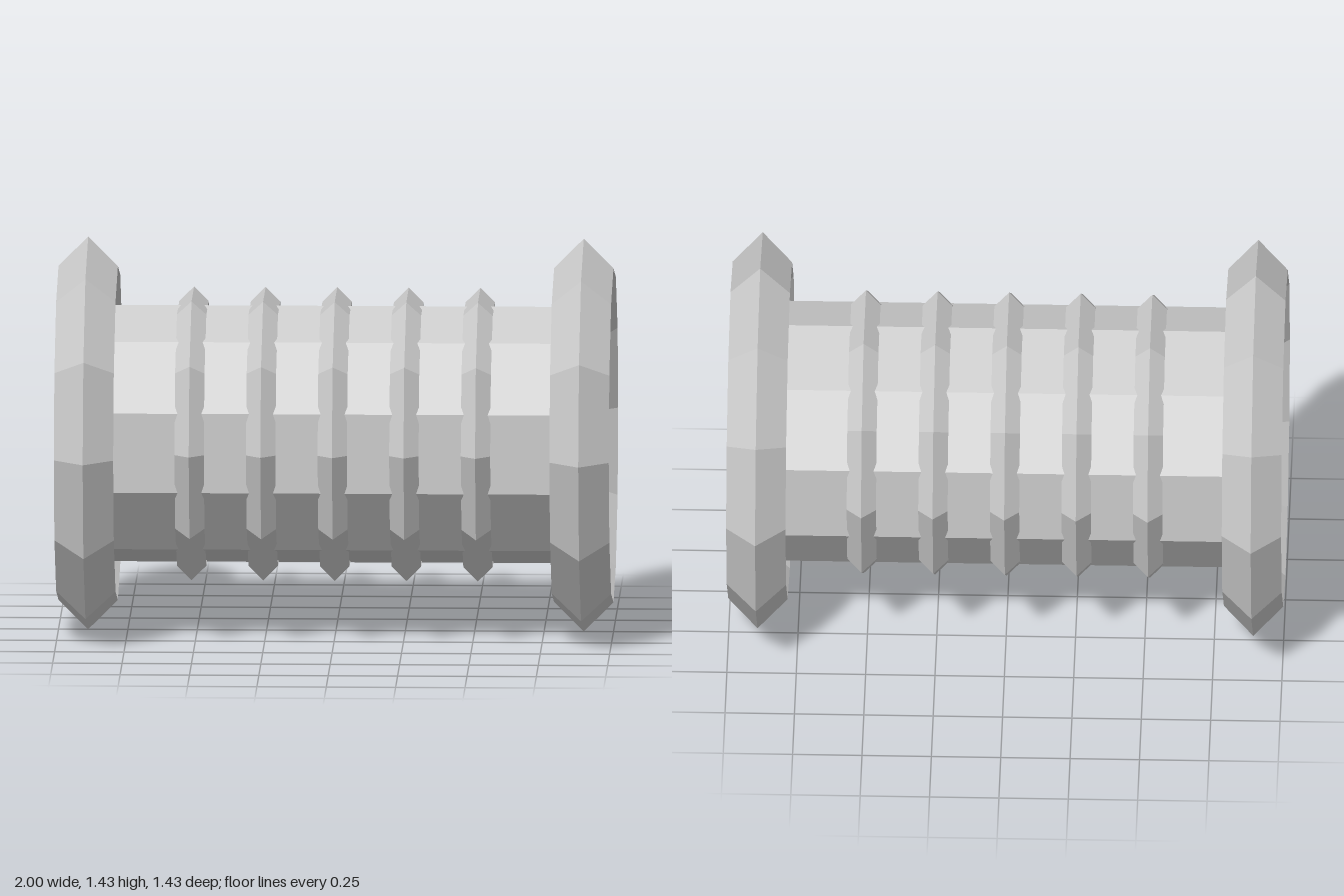
import * as THREE from 'three';

export function createModel() {
  const model = new THREE.Group();
  model.name = 'ribbedSpool';

  const grey = new THREE.MeshStandardMaterial({ color: 0xcccccc });
  grey.name = 'light grey';
  grey.flatShading = true;

  const axisY = 0.717; // height of the spool's axis
  const endX = 0.893; // centre of each end ring

  // Diamond-section ring around the x axis
  function addRing(name, x, radius, tube, sides) {
    const geometry = new THREE.TorusGeometry(radius, tube, 4, sides);
    geometry.rotateY(Math.PI / 2);
    const ring = new THREE.Mesh(geometry, grey);
    ring.name = name;
    ring.position.set(x, axisY, 0);
    model.add(ring);
  }

  // Ten-sided barrel lying along x, with a corner at the top
  const barrelGeometry = new THREE.CylinderGeometry(0.468, 0.468, endX * 2, 10);
  barrelGeometry.rotateY(Math.PI / 2);
  barrelGeometry.rotateZ(Math.PI / 2);
  const barrel = new THREE.Mesh(barrelGeometry, grey);
  barrel.name = 'barrel';
  barrel.position.y = axisY;
  model.add(barrel);

  // Five slim ribs along the barrel
  for (let i = -2; i <= 2; i++) addRing('rib' + (i + 3), i * 0.258, 0.482, 0.053, 10);

  // Large ring around each end
  addRing('leftEndRing', endX, 0.61, 0.107, 12);
  addRing('rightEndRing', -endX, 0.61, 0.107, 12);

  return model;
}
